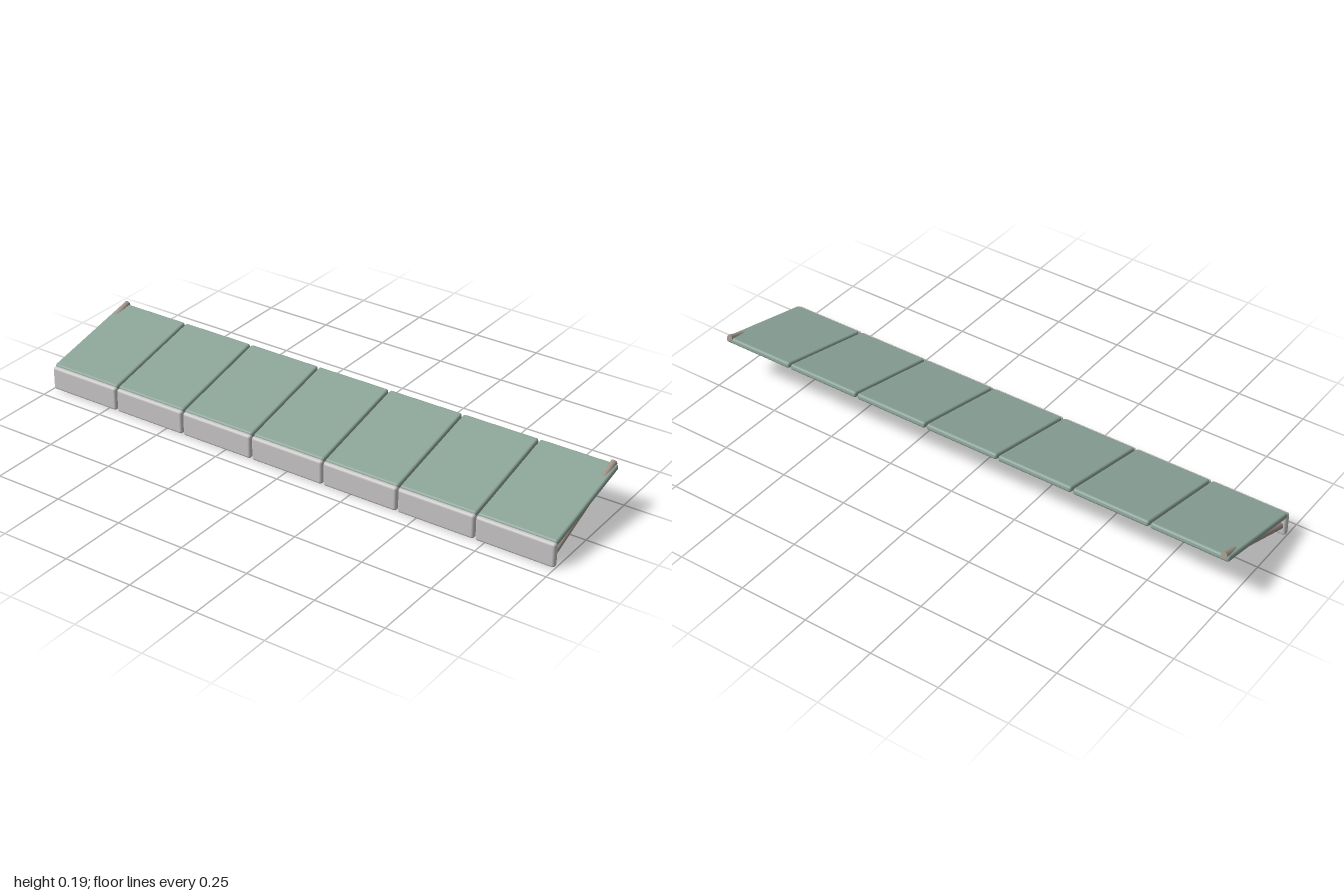
import * as THREE from 'three';
import { RoundedBoxGeometry } from 'three/addons/geometries/RoundedBoxGeometry.js';

const COUNT = 7;
const PITCH = 0.286;
const WIDTH = 0.28;

function material(name, color) {
  const m = new THREE.MeshStandardMaterial({ color });
  m.name = name;
  return m;
}

export function createModel() {
  const group = new THREE.Group();
  group.name = 'awning';
  const green = material('sage green', 0x8ba398);
  const pale = material('pale grey', 0xcac7c7);
  const brown = material('warm grey brown', 0xa09287);

  const add = (name, geometry, mat, x, y, z) => {
    const mesh = new THREE.Mesh(geometry, mat);
    mesh.name = name;
    mesh.position.set(x, y, z);
    group.add(mesh);
    return mesh;
  };

  // Sloping roof panels, each with a hanging valance at its front edge
  const panelGeo = new RoundedBoxGeometry(WIDTH, 0.021, 0.392, 2, 0.008);
  const valanceGeo = new RoundedBoxGeometry(WIDTH, 0.086, 0.023, 2, 0.009);
  for (let i = 0; i < COUNT; i++) {
    const x = (i - (COUNT - 1) / 2) * PITCH;
    add('roofPanel', panelGeo, green, x, 0.128, -0.005).rotation.x = 0.224;
    add('valance', valanceGeo, pale, x, 0.046, 0.188);
  }

  // Support arms running from the valance up to the rear edge at both ends
  const low = new THREE.Vector3(0, 0.043, 0.172);
  const high = new THREE.Vector3(0, 0.182, -0.196);
  const dir = high.clone().sub(low);
  const mid = low.clone().add(high).multiplyScalar(0.5);
  const armGeo = new THREE.CylinderGeometry(0.0112, 0.0112, dir.length(), 10);
  for (const side of [-1, 1]) {
    const arm = add('supportArm', armGeo, brown, side * 0.98, mid.y, mid.z);
    arm.quaternion.setFromUnitVectors(new THREE.Vector3(0, 1, 0), dir.clone().normalize());
  }
  return group;
}
